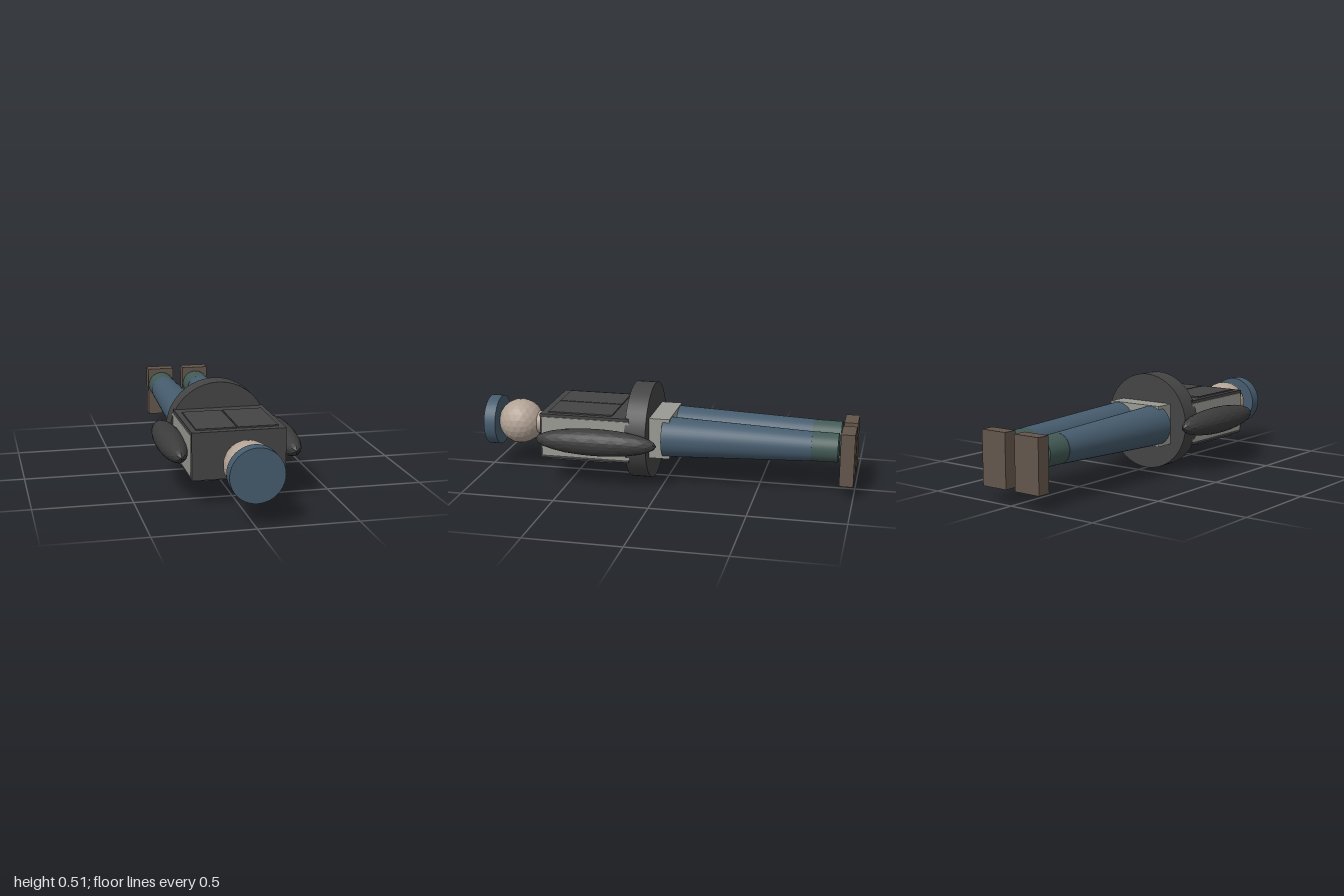
import * as THREE from 'three';

const MID = 0.258; // height of the body's long axis

const material = (color, flatShading = false) => new THREE.MeshStandardMaterial({ color, flatShading });
const mats = {
  blue: material(0x465c6e),
  skin: material(0xb3a396),
  skinFlat: material(0xb3a396, true),
  dark: material(0x444444),
  darkFlat: material(0x3c3c3c, true),
  grey: material(0x9a9a94),
  green: material(0x435a56),
  brown: material(0x63564b),
};

export function createModel() {
  const model = new THREE.Group();

  const add = (name, geometry, mat) => {
    const mesh = new THREE.Mesh(geometry, mat);
    mesh.name = name;
    model.add(mesh);
    return mesh;
  };

  // Box given by its limits on each axis
  const box = (name, mat, [x0, x1], [y0, y1], [z0, z1]) =>
    add(name, new THREE.BoxGeometry(x1 - x0, y1 - y0, z1 - z0), mat)
      .position.set((x0 + x1) / 2, (y0 + y1) / 2, (z0 + z1) / 2);

  // Round part along z, from the back end to the front end
  const round = (name, mat, x, z0, z1, rBack, rFront = rBack) => {
    const geometry = new THREE.CylinderGeometry(rFront, rBack, z1 - z0, 40).rotateX(Math.PI / 2);
    add(name, geometry, mat).position.set(x, MID, (z0 + z1) / 2);
  };

  // Faceted ball stretched along z
  const ball = (name, mat, x, z, r, rz = r) =>
    add(name, new THREE.IcosahedronGeometry(1, 3).scale(r, r, rz), mat).position.set(x, MID, z);

  // Head
  round('hat', mats.blue, 0, 0.937, 1, 0.134);
  ball('head', mats.skinFlat, 0, 0.83, 0.122);
  round('neck', mats.skin, 0, 0.62, 0.74, 0.061);

  // Torso with vest, belt ring and hips
  box('torso', mats.grey, [-0.24, 0.24], [0.154, 0.363], [0.162, 0.633]);
  box('vest', mats.dark, [-0.236, 0.236], [0.139, 0.379], [0.165, 0.645]);
  box('chestPanel', mats.dark, [-0.207, 0.207], [0.122, 0.145], [0.26, 0.605]);
  round('beltRing', mats.dark, 0, 0.072, 0.182, 0.257);
  box('hips', mats.grey, [-0.16, 0.16], [0.15, 0.367], [-0.037, 0.1]);

  for (const [side, s] of [['left', 1], ['right', -1]]) {
    // Mirrored limits for one side
    const span = (a, b) => (s > 0 ? [a, b] : [-b, -a]);
    box(side + 'BackPanel', mats.dark, span(0.004, 0.207), [0.37, 0.386], [0.26, 0.605]);
    box(side + 'ZipStrip', mats.brown, span(0.011, 0.022), [0.111, 0.125], [0.26, 0.605]);
    ball(side + 'Arm', mats.darkFlat, s * 0.288, 0.33, 0.071, 0.325);
    round(side + 'Leg', mats.blue, s * 0.107, -0.78, 0, 0.077, 0.107);
    round(side + 'Boot', mats.green, s * 0.105, -0.915, -0.765, 0.075, 0.077);
    box(side + 'Foot', mats.brown, span(0.03, 0.18), [0.075, 0.353], [-1, -0.928]);
  }

  return model;
}
